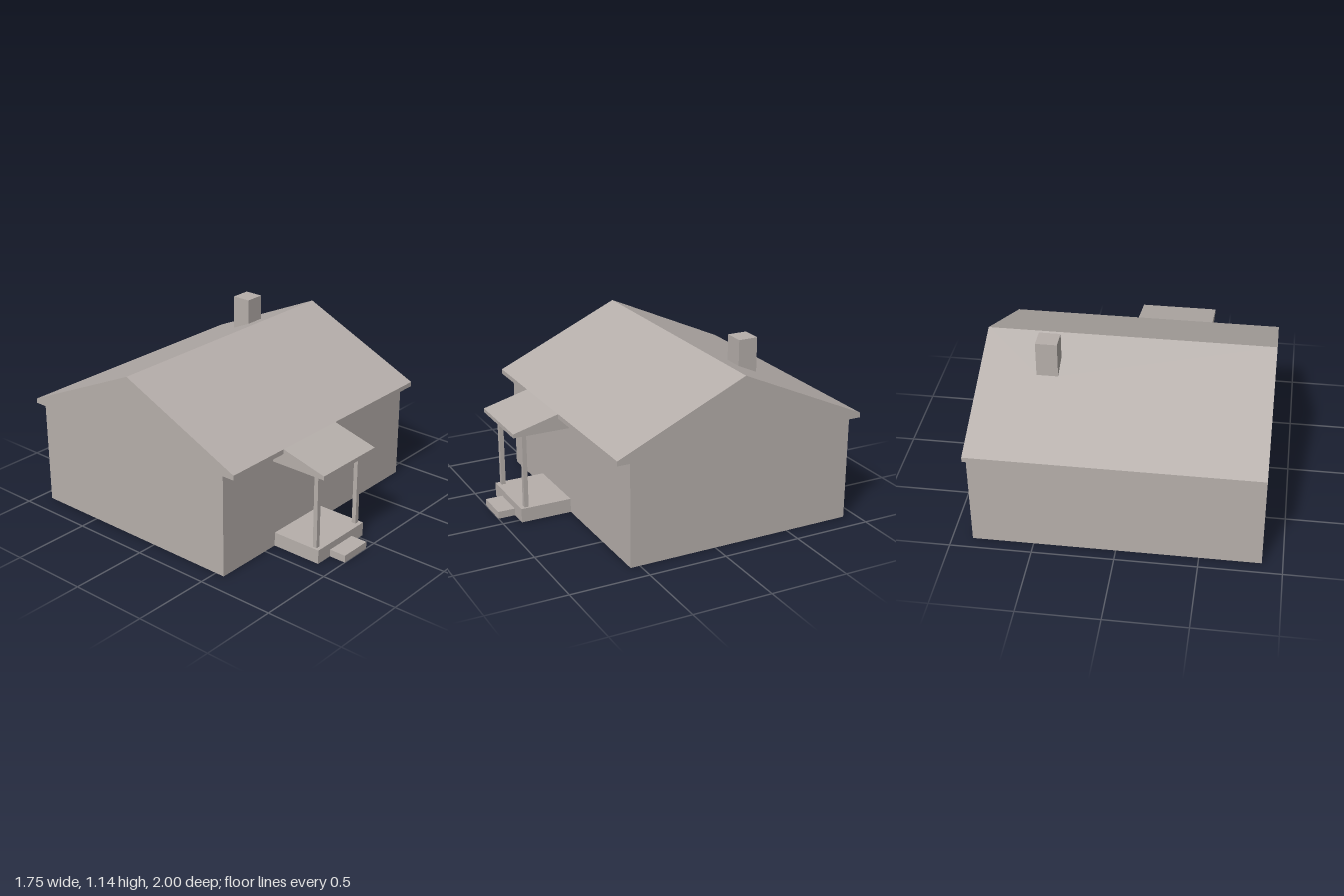
import * as THREE from 'three';

const plaster = new THREE.MeshStandardMaterial({ color: 0xb6afab, side: THREE.DoubleSide });
plaster.name = 'warm grey';

const V = (x, y, z) => new THREE.Vector3(x, y, z);
const rect = (a, b, c, d) => [[a, c], [b, c], [b, d], [a, d]];

// Flat panel: 2D outline (with holes) placed on origin + a*u + b*v
function panel(name, outline, holes, origin, u, v) {
  const toPts = (l) => l.map(([a, b]) => new THREE.Vector2(a, b));
  const shape = new THREE.Shape(toPts(outline));
  holes.forEach((h) => shape.holes.push(new THREE.Path(toPts(h))));
  const geo = new THREE.ShapeGeometry(shape);
  const m = new THREE.Matrix4().makeBasis(u, v, u.clone().cross(v)).setPosition(origin);
  geo.applyMatrix4(m);
  const mesh = new THREE.Mesh(geo, plaster);
  mesh.name = name;
  return mesh;
}

// Panel spanning x0..x1 that runs from p to q, both given as [z, y]
function span(name, x0, x1, p, q, holes = [], outline = null) {
  const v = V(0, q[1] - p[1], q[0] - p[0]);
  const len = v.length();
  return panel(name, outline || rect(x0, x1, 0, len), holes, V(0, p[1], p[0]), V(1, 0, 0), v.normalize());
}

// Pair of end faces with a [z, y] profile, at x0 (facing -x) and x1 (facing +x)
function ends(name, x0, x1, profile) {
  return [
    panel(name + 'Right', profile, [], V(x0, 0, 0), V(0, 0, 1), V(0, 1, 0)),
    panel(name + 'Left', profile.map(([z, y]) => [-z, y]), [], V(x1, 0, 0), V(0, 0, -1), V(0, 1, 0)),
  ];
}

function group(name, ...parts) {
  const g = new THREE.Group();
  g.name = name;
  g.add(...parts.flat());
  return g;
}

export function createModel() {
  const W = 0.875, wallZ = 0.56, backZ = -0.92;
  const eave = 0.65, eaveTop = 0.68, eaveZ = 0.64, ridge = [-0.18, 1.05];
  const porch = { x0: -0.435, x1: 0.06, y: 0.577, z: 0.935 };
  const deck = { x0: -0.41, x1: 0.035, y: 0.09, z: 0.89 };
  const step = { x0: -0.295, x1: -0.08, y: 0.046, z: 1.0 };
  const chim = { x0: 0.4, x1: 0.53, zf: -0.34, zb: -0.465, y: 1.14 };

  // House walls: the front one is open where the deck and porch roof join
  const frontOutline = [
    [-W, 0], [deck.x0, 0], [deck.x0, deck.y], [deck.x1, deck.y], [deck.x1, 0], [W, 0],
    [W, eave], [porch.x1, eave], [porch.x1, porch.y], [porch.x0, porch.y], [porch.x0, eave], [-W, eave],
  ];
  const gable = [
    [wallZ, 0], [wallZ, eave], [eaveZ, eave], [eaveZ, eaveTop], ridge,
    [-1, eaveTop], [-1, eave], [backZ, eave], [backZ, 0],
  ];
  const walls = group('walls',
    span('frontWall', -W, W, [wallZ, 0], [wallZ, eave], [], frontOutline),
    span('backWall', -W, W, [backZ, eave], [backZ, 0]),
    ends('gable', -W, W, gable));

  // Main roof, open under the chimney
  const k = Math.hypot(0.82, 0.37) / 0.82;
  const flue = rect(chim.x0, chim.x1, (ridge[0] - chim.zf) * k, (ridge[0] - chim.zb) * k);
  const roof = group('roof',
    span('frontSlope', -W, W, [eaveZ, eaveTop], ridge),
    span('backSlope', -W, W, ridge, [-1, eaveTop], [flue]),
    span('backFascia', -W, W, [-1, eaveTop], [-1, eave]),
    span('backSoffit', -W, W, [-1, eave], [backZ, eave]));
  for (const [a, b] of [[-W, porch.x0], [porch.x1, W]]) {
    roof.add(span('frontSoffit', a, b, [wallZ, eave], [eaveZ, eave]),
      span('frontFascia', a, b, [eaveZ, eave], [eaveZ, eaveTop]));
  }

  // Chimney
  const slopeY = (z) => ridge[1] - (ridge[0] - z) * 0.37 / 0.82;
  const { zf, zb } = chim;
  const yf = slopeY(zf), yb = slopeY(zb);
  const chimney = group('chimney',
    span('chimneyFront', chim.x0, chim.x1, [zf, yf], [zf, chim.y]),
    span('chimneyTop', chim.x0, chim.x1, [zf, chim.y], [zb, chim.y]),
    span('chimneyBack', chim.x0, chim.x1, [zb, chim.y], [zb, yb]),
    ends('chimneySide', chim.x0, chim.x1, [[zf, yf], [zf, chim.y], [zb, chim.y], [zb, yb]]));

  // Posts: hollow square tubes
  const r = 0.014, postZ = 0.85, postX = [-0.38, 0.006];
  const posts = postX.map((x) => group('porchPost',
    span('postFront', x - r, x + r, [postZ + r, deck.y], [postZ + r, porch.y]),
    span('postBack', x - r, x + r, [postZ - r, porch.y], [postZ - r, deck.y]),
    ends('postSide', x - r, x + r,
      [[postZ + r, deck.y], [postZ + r, porch.y], [postZ - r, porch.y], [postZ - r, deck.y]])));

  // Porch roof
  const soffitHoles = postX.map((x) => rect(x - r, x + r, postZ - r - wallZ, postZ + r - wallZ));
  const porchRoof = group('porchRoof',
    span('porchSoffit', porch.x0, porch.x1, [wallZ, porch.y], [porch.z, porch.y], soffitHoles),
    span('porchFascia', porch.x0, porch.x1, [porch.z, porch.y], [porch.z, 0.602]),
    span('porchSlope', porch.x0, porch.x1, [porch.z, 0.602], [eaveZ, eaveTop]),
    ends('porchSide', porch.x0, porch.x1, [[wallZ, porch.y], [porch.z, porch.y], [porch.z, 0.602],
      [eaveZ, eaveTop], [eaveZ, eave], [wallZ, eave]]));

  // Deck, open below and behind the step
  const deckHoles = postX.map((x) => rect(x - r, x + r, deck.z - postZ - r, deck.z - postZ + r));
  const deckFront = [
    [deck.x0, 0], [step.x0, 0], [step.x0, step.y], [step.x1, step.y], [step.x1, 0],
    [deck.x1, 0], [deck.x1, deck.y], [deck.x0, deck.y],
  ];
  const porchDeck = group('porchDeck',
    span('deckFront', deck.x0, deck.x1, [deck.z, 0], [deck.z, deck.y], [], deckFront),
    span('deckTop', deck.x0, deck.x1, [deck.z, deck.y], [wallZ, deck.y], deckHoles),
    ends('deckSide', deck.x0, deck.x1, rect(wallZ, deck.z, 0, deck.y)));

  // Front step
  const frontStep = group('frontStep',
    span('stepFront', step.x0, step.x1, [step.z, 0], [step.z, step.y]),
    span('stepTop', step.x0, step.x1, [step.z, step.y], [deck.z, step.y]),
    ends('stepSide', step.x0, step.x1, rect(deck.z, step.z, 0, step.y)));

  return group('house', walls, roof, chimney, posts, porchRoof, porchDeck, frontStep);
}
